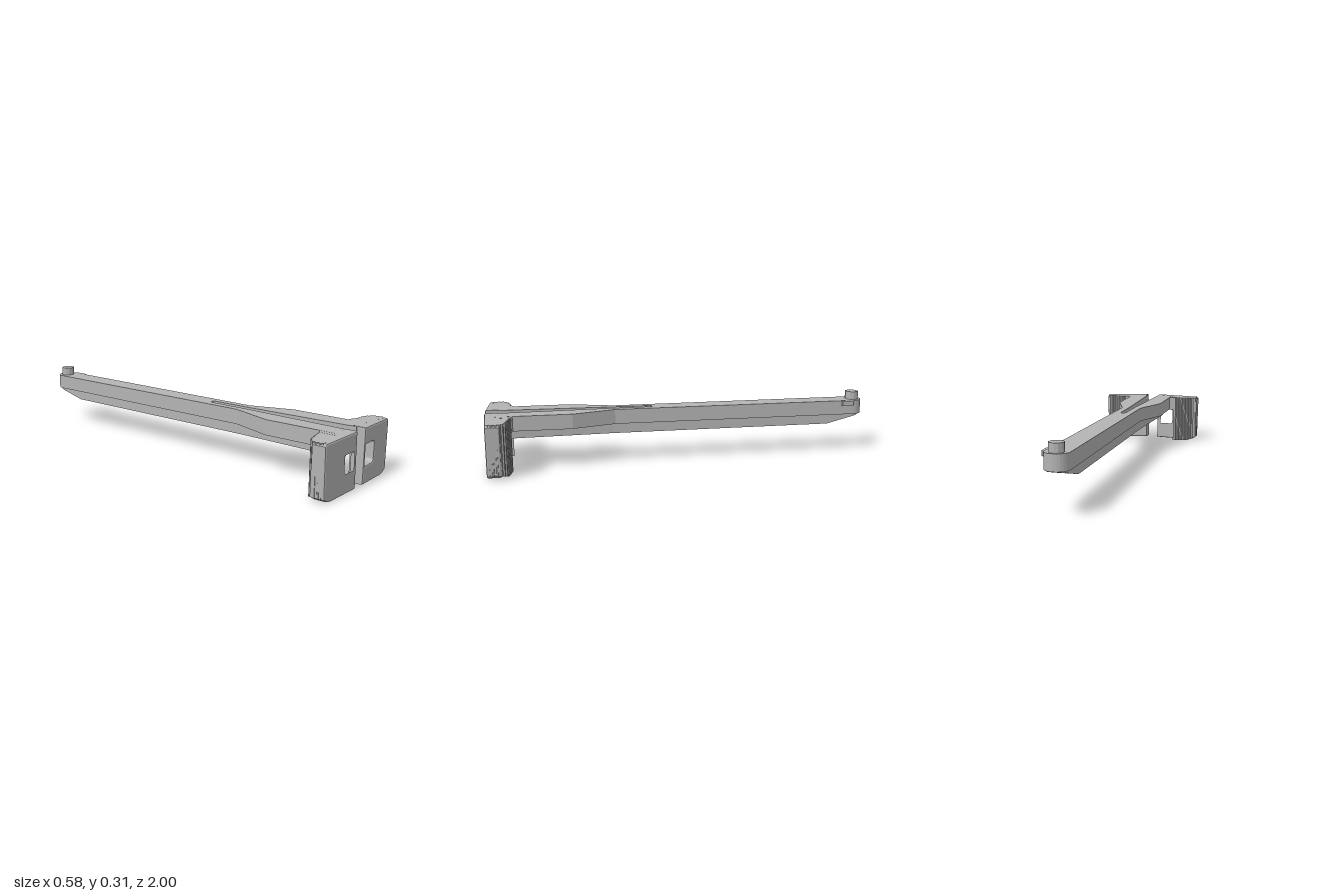
import * as THREE from 'three';

const grey = new THREE.MeshStandardMaterial({ color: 0xb4b4b4 });
grey.name = 'grey plastic';

// Extrudes an outline given as [x, z] points from height y0 up to y1.
function slab(points, y0, y1, side = 1, rule) {
  const shape = new THREE.Shape(points.map(([x, z]) => new THREE.Vector2(x * side, -z)));
  const geo = new THREE.ExtrudeGeometry(shape, { depth: y1 - y0, bevelEnabled: false });
  geo.rotateX(-Math.PI / 2).translate(0, y0, 0);
  if (rule) {
    const p = geo.attributes.position;
    for (let i = 0; i < p.count; i++) p.setY(i, rule(Math.abs(p.getX(i)), p.getY(i), p.getZ(i)));
    geo.computeVertexNormals();
  }
  return geo;
}

// Half circle around the tail, from +x to -x.
function tailArc(r, n = 12) {
  return Array.from({ length: n + 1 }, (_, i) => {
    const a = Math.PI * i / n;
    return [r * Math.cos(a), -0.943 - r * Math.sin(a)];
  });
}

// Right-hand half of an outline, completed by its mirror image in reverse order.
const mirrored = half => [...half, ...half.slice().reverse().map(([x, z]) => [-x, z])];

// Walks along a polyline and alternates points in and out to make grip ridges.
function ridges(path, count, depth) {
  const curve = new THREE.CurvePath();
  for (let i = 1; i < path.length; i++) {
    curve.add(new THREE.LineCurve(new THREE.Vector2(...path[i - 1]), new THREE.Vector2(...path[i])));
  }
  const out = [];
  const n = count * 3;
  for (let i = 0; i <= n; i++) {
    const p = curve.getPoint(i / n);
    const q = curve.getPoint(Math.min(1, i / n + 0.01));
    const o = curve.getPoint(Math.max(0, i / n - 0.01));
    const t = q.sub(o).normalize();
    const d = i % 3 === 2 ? depth : 0;
    out.push([p.x - t.y * d, p.y + t.x * d]);
  }
  return out;
}

// Front plate of a pad with its rounded window.
function padPlate(side) {
  const outline = [[0.033, 0.008], [0.235, 0.002], [0.265, 0.009], [0.286, 0.022],
    [0.291, 0.26], [0.279, 0.271], [0.037, 0.277]];
  const shape = new THREE.Shape(outline.map(([x, y]) => new THREE.Vector2(x * side, y)));
  const hole = new THREE.Path();
  hole.moveTo(0.05 * side, 0.093);
  hole.lineTo(0.118 * side, 0.093);
  hole.quadraticCurveTo(0.14 * side, 0.093, 0.14 * side, 0.115);
  hole.lineTo(0.142 * side, 0.178);
  hole.quadraticCurveTo(0.142 * side, 0.196, 0.124 * side, 0.196);
  hole.lineTo(0.05 * side, 0.196);
  hole.closePath();
  shape.holes.push(hole);
  const geo = new THREE.ExtrudeGeometry(shape, {
    depth: 0.054, bevelThickness: 0.008, bevelSize: 0.007, bevelOffset: -0.007,
    bevelSegments: 2, curveSegments: 5,
  });
  geo.translate(0, 0, 0.938);
  // The face leans back slightly towards its outer edge.
  const p = geo.attributes.position;
  for (let i = 0; i < p.count; i++) p.setZ(i, p.getZ(i) - 0.05 * (Math.abs(p.getX(i)) - 0.03));
  geo.computeVertexNormals();
  return geo;
}

export function createModel() {
  const group = new THREE.Group();
  const add = (geo, name, parent = group) => {
    const mesh = new THREE.Mesh(geo, grey);
    mesh.name = name;
    parent.add(mesh);
    return mesh;
  };

  // Forked top plate: rounded tail, straight shaft, flared arms and a tapering slot.
  const half = [[0.057, -0.943], [0.053, 0.35], [0.125, 0.57], [0.125, 0.955],
    [0.034, 0.955], [0.015, 0.36], [0.014, 0.165], [0.008, 0.153]];
  add(slab([...mirrored(half), ...tailArc(0.057).slice(1, -1).reverse()], 0.2, 0.275), 'forkPlate');

  // Floor of the groove between the rails, behind the slot.
  add(slab([[-0.016, -0.86], [0.016, -0.86], [0.016, 0.153], [-0.016, 0.153]], 0.187, 0.201), 'grooveFloor');

  // Tail end of the rails, sloping up to the tip.
  const slope = (x, y, z) => (y < 0.19 ? 0.15 + 0.25 * Math.max(0, -0.8 - z) : y);
  const tail = [...tailArc(0.045).reverse(), [0.045, -0.8], [0.013, -0.8], [0.013, -0.85],
    [0, -0.88], [-0.013, -0.85], [-0.013, -0.8], [-0.045, -0.8]];
  add(slab(tail, 0.15, 0.201, 1, slope), 'railTail');

  for (const side of [1, -1]) {
    const label = side > 0 ? 'left' : 'right';

    // Underside rail following the shaft and the slot edge.
    const rail = [[0.013, -0.8], [0.045, -0.8], [0.045, 0.36], [0.066, 0.945],
      [0.034, 0.945], [0.015, 0.36]];
    add(slab(rail, 0.15, 0.201, side), label + 'Rail');

    // Grip pad: windowed front plate with a ridged block behind its outer half.
    const pad = new THREE.Group();
    pad.name = label + 'Pad';
    group.add(pad);
    add(padPlate(side), label + 'PadPlate', pad);
    const grip = [[0.148, 0.95], [0.148, 0.868],
      ...ridges([[0.155, 0.87], [0.25, 0.888], [0.278, 0.906], [0.289, 0.93], [0.287, 0.972]], 10, 0.007),
      [0.27, 0.972]];
    const cut = (x, y) => (y < 0.1 ? y + 0.4 * Math.max(0, x - 0.235) : y - 0.02 * (x - 0.15));
    add(slab(grip, 0.003, 0.274, side, cut), label + 'PadGrip', pad);
    // Top web joining the arm to the grip.
    add(slab([[0.12, 0.95], [0.12, 0.86], [0.15, 0.868], [0.15, 0.95]], 0.2, 0.2745, side), label + 'PadWeb', pad);
  }

  // Peg on the tail and the small catch beside it.
  const peg = add(new THREE.CylinderGeometry(0.035, 0.035, 0.045, 12).toNonIndexed(), 'peg');
  peg.geometry.computeVertexNormals();
  peg.position.set(0, 0.2945, -0.952);
  add(slab([[0.05, -0.945], [0.062, -0.945], [0.071, -0.935], [0.071, -0.875], [0.05, -0.875]], 0.25, 0.274), 'catch');

  return group;
}
